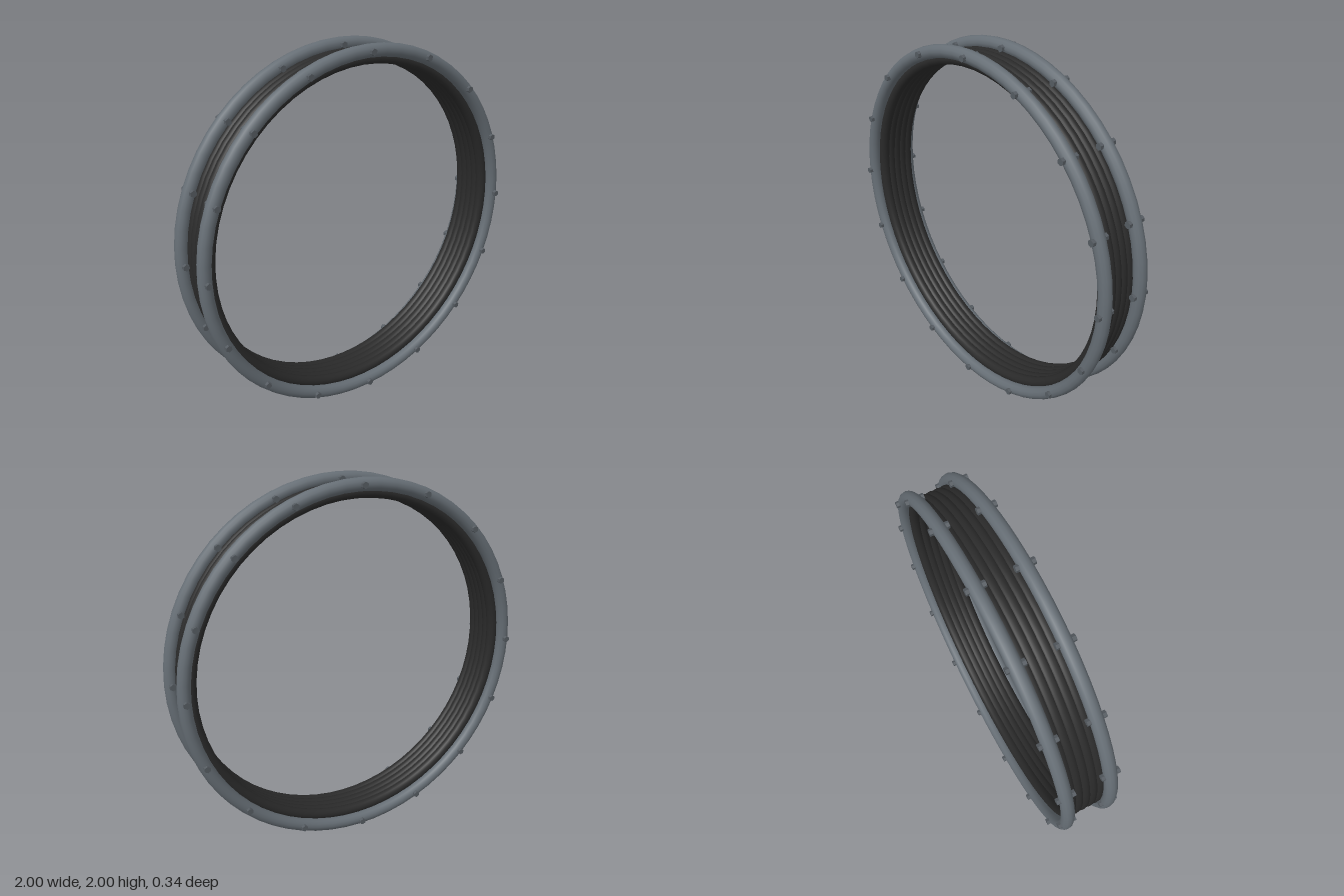
import * as THREE from 'three';

export function createModel() {
  const model = new THREE.Group();
  const steel = new THREE.MeshStandardMaterial({ color: 0x666e75 });
  steel.name = 'steel grey';
  const rubber = new THREE.MeshStandardMaterial({ color: 0x2a2a2a });
  rubber.name = 'black rubber';
  const boltSteel = new THREE.MeshStandardMaterial({ color: 0x555b61 });
  boltSteel.name = 'dark steel';

  const add = (name, geometry, material, x, y, z) => {
    const mesh = new THREE.Mesh(geometry, material);
    mesh.name = name;
    mesh.position.set(x, y, z);
    model.add(mesh);
  };

  // Bellows: overlapping rubber rings side by side
  const ribGeo = new THREE.TorusGeometry(0.92, 0.03, 12, 64);
  for (let i = -2; i <= 2; i++) add('bellowsRib', ribGeo, rubber, 0, 1, i * 0.04);

  // Round flange at each end, with sixteen hexagonal bolts through it
  const R = 0.965;
  const flangeGeo = new THREE.TorusGeometry(R, 0.035, 12, 64);
  const boltGeo = new THREE.CylinderGeometry(0.018, 0.018, 0.1, 6).toNonIndexed();
  boltGeo.computeVertexNormals();
  boltGeo.rotateX(Math.PI / 2);
  for (const z of [0.12, -0.12]) {
    add(z > 0 ? 'frontFlange' : 'backFlange', flangeGeo, steel, 0, 1, z);
    for (let i = 0; i < 16; i++) {
      const a = (i / 16) * Math.PI * 2;
      add('flangeBolt', boltGeo, boltSteel, Math.cos(a) * R, 1 + Math.sin(a) * R, z);
    }
  }
  return model;
}
